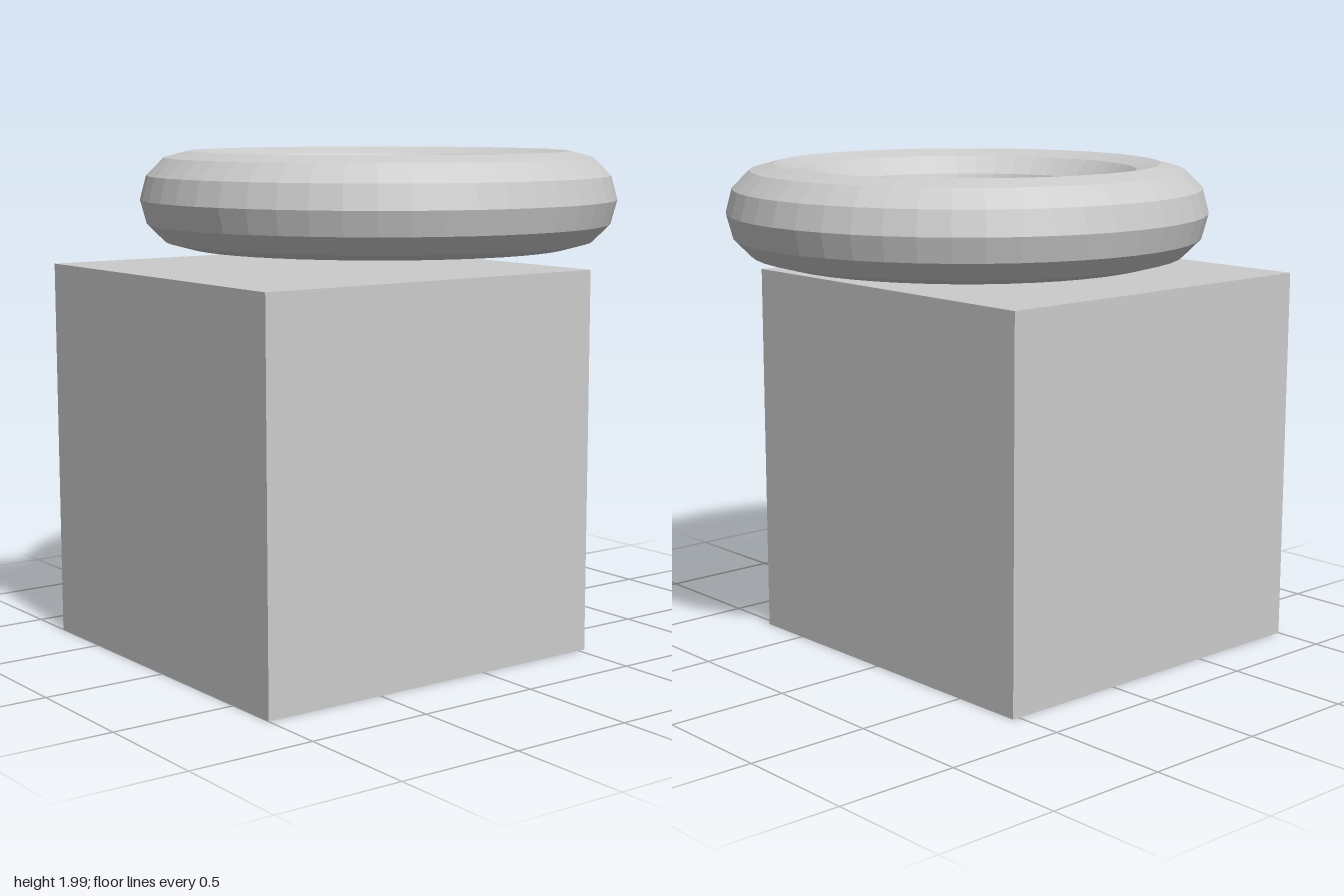
import * as THREE from 'three';

export function createModel() {
  const group = new THREE.Group();
  const material = new THREE.MeshStandardMaterial({ color: 0xcccccc, flatShading: true });
  const unit = 0.765; // half the cube's side, also the ring's main radius

  // Solid cube standing on the ground
  const cube = new THREE.Mesh(new THREE.BoxGeometry(2 * unit, 2 * unit, 2 * unit), material);
  cube.name = 'cube';
  cube.position.set(unit - 1, unit, -0.035);
  group.add(cube);

  // Faceted ring lying flat, hovering just above the cube
  const ringGeometry = new THREE.TorusGeometry(unit, unit / 4, 12, 48);
  ringGeometry.rotateX(-Math.PI / 2);
  const ring = new THREE.Mesh(ringGeometry, material);
  ring.name = 'ring';
  ring.position.set(1 - 1.25 * unit, 1.795, 0);
  group.add(ring);

  return group;
}
